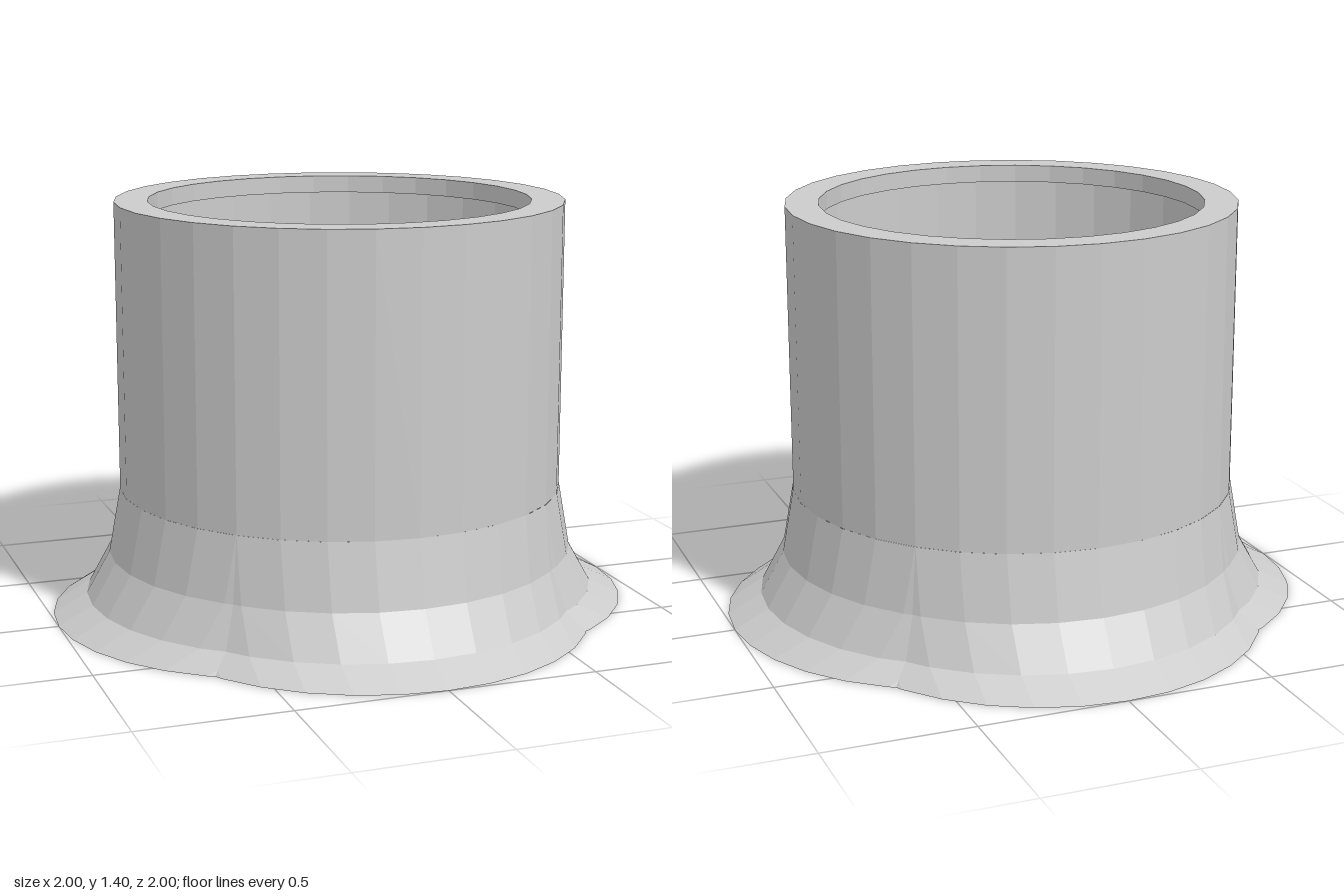
import * as THREE from 'three';

const RADIUS = 0.757;
const SIDES = 32;

function material() {
  return new THREE.MeshStandardMaterial({ color: 0xcccccc, flatShading: true, side: THREE.DoubleSide });
}

// Ring split into two halves that are pushed apart along x by the spread
function splitRing(y, spread) {
  const points = [];
  for (const side of [1, -1]) {
    for (let i = 0; i <= SIDES / 2; i++) {
      const a = (i / (SIDES / 2) - 0.5) * Math.PI + (side < 0 ? Math.PI : 0);
      points.push([RADIUS * Math.cos(a) + side * spread, y, RADIUS * Math.sin(a)]);
    }
  }
  return points;
}

// Skirt that flares towards +x and -x, going from the tube down to the ground
function flareGeometry() {
  const levels = [[0.42, 0.001], [0.2, 0.043], [0.06, 0.125], [0, 0.243]];
  const positions = [];
  const indices = [];
  const n = SIDES + 2;
  levels.forEach(([y, spread], level) => {
    for (const p of splitRing(y, spread)) positions.push(...p);
    if (level === 0) return;
    for (let i = 0; i < n; i++) {
      const j = (i + 1) % n;
      const top = (level - 1) * n;
      const low = level * n;
      indices.push(top + i, top + j, low + i, top + j, low + j, low + i);
    }
  });
  const geometry = new THREE.BufferGeometry();
  geometry.setAttribute('position', new THREE.Float32BufferAttribute(positions, 3));
  geometry.setIndex(indices);
  geometry.computeVertexNormals();
  return geometry;
}

export function createModel() {
  const model = new THREE.Group();
  model.name = 'flaredTube';

  const addLathe = (name, profile) => {
    const points = profile.map(([r, y]) => new THREE.Vector2(r, y));
    const mesh = new THREE.Mesh(new THREE.LatheGeometry(points, SIDES), material());
    mesh.name = name;
    model.add(mesh);
  };

  // Thin tube wall, then the flat rim with its short inner lip
  addLathe('tubeWall', [[RADIUS, 0.42], [RADIUS, 1.4]]);
  addLathe('topRim', [[RADIUS, 1.4], [0.645, 1.4], [0.645, 1.34]]);

  // Two crossing skirts give the four-lobed foot
  const flare = flareGeometry();
  ['sideFlare', 'frontBackFlare'].forEach((name, i) => {
    const mesh = new THREE.Mesh(flare, material());
    mesh.name = name;
    mesh.rotation.y = i * Math.PI / 2;
    model.add(mesh);
  });

  return model;
}
